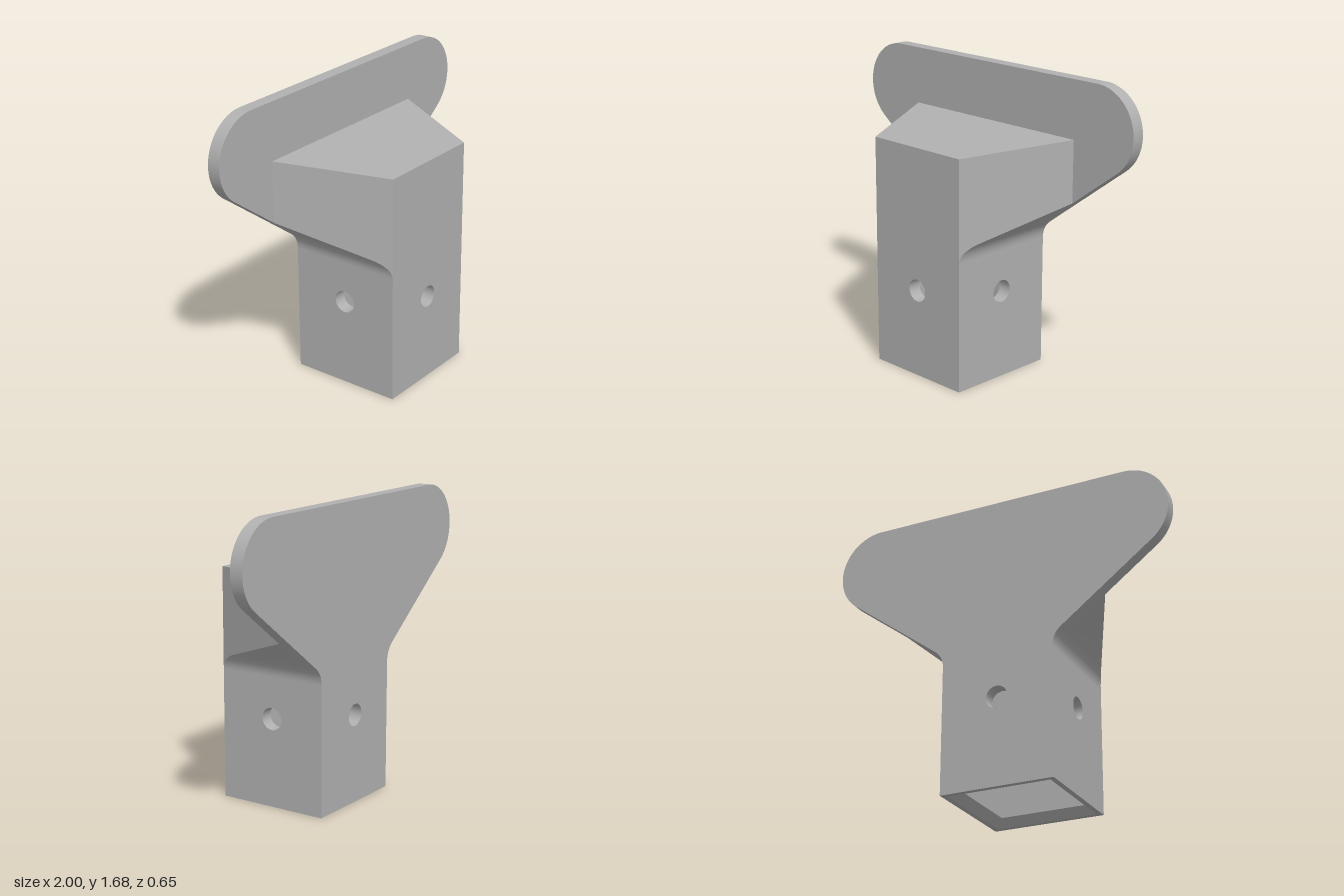
import * as THREE from 'three';
import { toCreasedNormals } from 'three/addons/utils/BufferGeometryUtils.js';

const HALF = 0.325;          // half width of the square post
const WALL = 0.075;          // wall and plate thickness
const INNER = HALF - WALL;
const NECK = 0.736;          // height where the post starts to flare
const CAVITY_TOP = 0.9;
const HOLE_Y = 0.5, HOLE_R = 0.063;
const CHAMFER = 0.045;
const FLARE = Math.atan2(4, 3); // direction of the flare's tangent points

export function createModel() {
  const grey = new THREE.MeshStandardMaterial({ color: 0xb0b0b0, side: THREE.DoubleSide });
  const model = new THREE.Group();
  model.name = 'postBracket';
  const add = (name, geometry, parent = model) => {
    const mesh = new THREE.Mesh(geometry, grey);
    mesh.name = name;
    parent.add(mesh);
    return mesh;
  };

  // Flat wall panel with a round bolt hole
  const panel = (half, y0, y1) => {
    const s = new THREE.Shape();
    s.moveTo(-half, y0).lineTo(half, y0).lineTo(half, y1).lineTo(-half, y1).closePath();
    const hole = new THREE.Path();
    hole.absarc(0, HOLE_Y, HOLE_R, 0, Math.PI * 2, true);
    s.holes.push(hole);
    return new THREE.ShapeGeometry(s, 32);
  };

  // Four walls of the hollow post
  const post = new THREE.Group();
  post.name = 'post';
  model.add(post);
  for (let k = 0; k < 4; k++) {
    const wall = new THREE.Group();
    wall.name = 'wall';
    wall.rotation.y = k * Math.PI / 2;
    post.add(wall);
    add('outerWall', panel(HALF, 0, NECK).translate(0, 0, HALF), wall);
    add('innerWall', panel(INNER, CHAMFER, CAVITY_TOP).rotateY(Math.PI).translate(0, 0, INNER), wall);
    const liner = new THREE.CylinderGeometry(HOLE_R, HOLE_R, WALL, 32, 1, true);
    add('boltHole', liner.rotateX(Math.PI / 2).translate(0, HOLE_Y, HALF - WALL / 2), wall);
  }

  // Thin bottom rim, chamfered mouth and cavity ceiling
  const square = (h, Type) => new Type([[-h, -h], [h, -h], [h, h], [-h, h]].map(([x, y]) => new THREE.Vector2(x, y)));
  const rimHalf = INNER + CHAMFER;
  const rim = square(HALF, THREE.Shape);
  rim.holes.push(square(rimHalf, THREE.Path));
  add('bottomRim', new THREE.ShapeGeometry(rim).rotateX(Math.PI / 2), post);
  const mouth = new THREE.CylinderGeometry(INNER * Math.SQRT2, rimHalf * Math.SQRT2, CHAMFER, 4, 1, true)
    .rotateY(Math.PI / 4).translate(0, CHAMFER / 2, 0).toNonIndexed();
  mouth.computeVertexNormals();
  add('chamferedMouth', mouth, post);
  add('cavityCeiling', new THREE.PlaneGeometry(INNER * 2, INNER * 2).rotateX(Math.PI / 2).translate(0, CAVITY_TOP, 0), post);

  // Wide back plate with rounded ends and filleted neck
  const outline = new THREE.Shape();
  const tilt = Math.PI / 2 - Math.atan(0.75);
  outline.moveTo(-HALF, NECK).lineTo(HALF, NECK);
  outline.absarc(0.45, NECK, 0.125, Math.PI, Math.PI - FLARE, true);
  outline.absarc(0.75, 1.43, 0.25, -tilt, Math.PI / 2, false);
  outline.absarc(-0.75, 1.43, 0.25, Math.PI / 2, Math.PI + tilt, false);
  outline.absarc(-0.45, NECK, 0.125, FLARE, 0, true);
  const plate = new THREE.ExtrudeGeometry(outline, { depth: WALL, bevelEnabled: false, curveSegments: 20 });
  add('backPlate', toCreasedNormals(plate.translate(0, 0, -HALF), 0.4));

  // Tapered block: its underside follows the plate's flare up to the slanted sides
  const back = -INNER, wide = 0.6;
  const curve = [];
  for (let i = 0; i <= 12; i++) {
    const a = Math.PI - FLARE * i / 12;
    curve.push([0.45 + 0.125 * Math.cos(a), NECK + 0.125 * Math.sin(a)]);
  }
  curve.push([wide, 1.005]);
  const sideZ = x => HALF - (x - HALF) * (HALF - back) / (wide - HALF);
  const topY = z => 1.305 + 0.05 * (HALF - z) / (HALF - back);
  const pos = [];
  const quad = (a, b, c, d) => [a, b, c, a, c, d].forEach(p => pos.push(...p));
  for (const s of [1, -1]) {
    const face = (...p) => quad(...(s > 0 ? p : p.reverse()));
    for (let i = 0; i < curve.length - 1; i++) {
      const [x0, y0] = curve[i], [x1, y1] = curve[i + 1];
      const z0 = sideZ(x0), z1 = sideZ(x1);
      face([s * x0, y0, z0], [s * x0, y0, back], [s * x1, y1, back], [s * x1, y1, z1]);
      face([s * x0, y0, z0], [s * x1, y1, z1], [s * x1, topY(z1), z1], [s * x0, topY(z0), z0]);
    }
  }
  const f = topY(HALF), b = topY(back);
  quad([-HALF, f, HALF], [HALF, f, HALF], [wide, b, back], [-wide, b, back]);
  quad([-HALF, NECK, HALF], [HALF, NECK, HALF], [HALF, f, HALF], [-HALF, f, HALF]);
  const block = new THREE.BufferGeometry();
  block.setAttribute('position', new THREE.Float32BufferAttribute(pos, 3));
  add('taperedBlock', toCreasedNormals(block, 0.4));

  return model;
}
